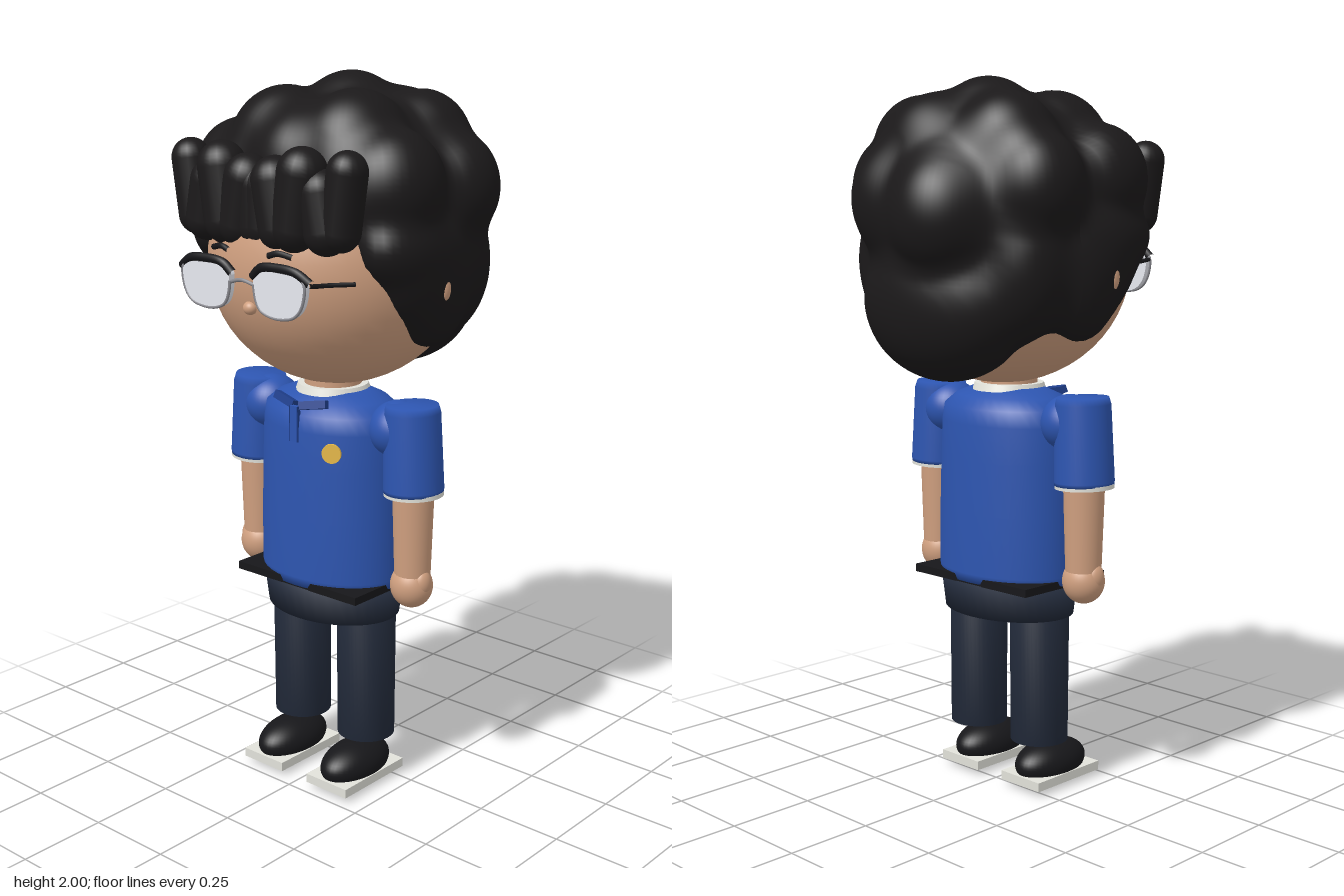
import * as THREE from 'three';

const mat = (color) => new THREE.MeshStandardMaterial({ color });
const M = {
  skin: mat(0xcf9f7f), hair: mat(0x1b191a), shirt: mat(0x2d55b0), shirtDark: mat(0x1f3f8c),
  pants: mat(0x222a3a), black: mat(0x17171a), white: mat(0xe2e2da), lens: mat(0xe6e8f0),
  gold: mat(0xe6b84a), metal: mat(0x8a8a90),
};

function add(parent, name, geo, material, pos = [0, 0, 0], scale = [1, 1, 1], rot = [0, 0, 0]) {
  const m = new THREE.Mesh(geo, material);
  m.name = name;
  m.position.set(...pos);
  m.scale.set(...scale);
  m.rotation.set(...rot);
  parent.add(m);
}
const ball = new THREE.SphereGeometry(1, 40, 28);
const lathe = (pts) => new THREE.LatheGeometry(
  pts.map(([r, y]) => new THREE.Vector2(r, y)), 40);
const tube = (pts, r, n = 16) => new THREE.TubeGeometry(
  new THREE.CatmullRomCurve3(pts.map((p) => new THREE.Vector3(...p))), n, r, 8);

// Curls as [x, y, z, rx, ry, rz]
const mirrored = [
  [0.12, 1.80, 0.10, 0.15, 0.16, 0.16], [0.16, 1.80, -0.12, 0.14, 0.15, 0.14],
  [0.265, 1.72, 0.12, 0.13, 0.15, 0.14], [0.265, 1.70, -0.12, 0.13, 0.15, 0.13],
  [0.16, 1.69, 0.17, 0.15, 0.16, 0.125], [0.30, 1.48, 0.01, 0.092, 0.185, 0.13],
  [0.23, 1.50, -0.13, 0.13, 0.2, 0.13], [0.30, 1.57, 0.12, 0.092, 0.10, 0.14],
  [0.305, 1.51, 0.08, 0.082, 0.13, 0.12],
];
const CURLS = [
  ...mirrored, ...mirrored.map(([x, ...rest]) => [-x, ...rest]),
  [0, 1.64, -0.05, 0.34, 0.31, 0.32], [-0.03, 1.85, -0.06, 0.15, 0.145, 0.14],
  [0.05, 1.81, -0.17, 0.15, 0.14, 0.14], [-0.08, 1.63, -0.26, 0.15, 0.17, 0.155],
  [0.12, 1.67, -0.24, 0.13, 0.16, 0.14], [0, 1.76, 0.14, 0.16, 0.16, 0.16],
  [0, 1.40, -0.19, 0.27, 0.22, 0.175],
];

// Smooth blend of all curls: negative inside the hair
function hairField(x, y, z) {
  const k = 0.035;
  let d = 1;
  for (const [cx, cy, cz, a, b, c] of CURLS) {
    const e = (Math.hypot((x - cx) / a, (y - cy) / b, (z - cz) / c) - 1) * Math.min(a, b, c);
    const h = Math.max(k - Math.abs(d - e), 0) / k;
    d = Math.min(d, e) - h * h * k * 0.25;
  }
  return d;
}

// A sphere whose vertices are drawn inward until they meet the blended curls
function hairGeometry() {
  const geo = new THREE.SphereGeometry(1, 128, 96);
  const p = geo.attributes.position;
  const o = [0, 1.6, -0.06];
  for (let i = 0; i < p.count; i++) {
    const v = [p.getX(i), p.getY(i), p.getZ(i)];
    let r = 0.65;
    for (let s = 0; s < 80 && r > 0.1; s++) {
      const d = hairField(o[0] + v[0] * r, o[1] + v[1] * r, o[2] + v[2] * r);
      if (d < 0.0005) break;
      r -= d * 0.8;
    }
    p.setXYZ(i, o[0] + v[0] * r, o[1] + v[1] * r, o[2] + v[2] * r);
  }
  geo.computeVertexNormals();
  return geo;
}

// Rounded lens outline, wider at the top
function lensShape() {
  const s = new THREE.Shape();
  s.moveTo(-0.085, 0.03);
  s.quadraticCurveTo(-0.08, 0.055, -0.04, 0.058);
  s.lineTo(0.05, 0.055);
  s.quadraticCurveTo(0.092, 0.05, 0.09, 0.02);
  s.quadraticCurveTo(0.085, -0.045, 0.04, -0.058);
  s.quadraticCurveTo(-0.02, -0.072, -0.06, -0.05);
  s.quadraticCurveTo(-0.085, -0.03, -0.085, 0.03);
  return s;
}

function buildHead() {
  const g = new THREE.Group();
  g.name = 'head';
  add(g, 'face', ball, M.skin, [0, 1.5, 0.03], [0.352, 0.34, 0.358]);
  add(g, 'nose', ball, M.skin, [0, 1.413, 0.376], [0.02, 0.018, 0.018]);
  add(g, 'hair', hairGeometry(), M.hair);
  // Fringe locks: [x, y, z, radius, length, tilt]
  const locks = [[0.262, 1.70, 0.31, 0.053, 0.15, -0.15], [0.20, 1.67, 0.315, 0.06, 0.1, 0.2],
    [0.13, 1.695, 0.328, 0.066, 0.14, -0.15], [0.06, 1.68, 0.328, 0.064, 0.12, 0.2],
    [0.01, 1.67, 0.322, 0.06, 0.1, 0]];
  for (const s of [1, -1]) {
    for (const [x, y, z, r, len, tilt] of locks) {
      add(g, 'fringeLock', new THREE.CapsuleGeometry(r, len, 10, 20), M.hair,
        [s * x, y, z], [1, 1, 1], [0, 0, s * tilt]);
    }
    add(g, 'ear', ball, M.skin, [s * 0.382, 1.467, 0.053], [0.014, 0.036, 0.019]);
    add(g, 'eyebrow', tube([[s * 0.07, 1.556, 0.38], [s * 0.1, 1.564, 0.376], [s * 0.14, 1.556, 0.365]], 0.008),
      M.black);
  }
  return g;
}

function buildGlasses() {
  const g = new THREE.Group();
  g.name = 'glasses';
  const lens = new THREE.ExtrudeGeometry(lensShape(), { depth: 0.02, bevelEnabled: false, curveSegments: 10 });
  const rim = tube(lensShape().getPoints(8).slice(0, -1).map((p) => [p.x, p.y, 0]), 0.004, 60);
  for (const s of [1, -1]) {
    const side = new THREE.Group();
    side.name = s > 0 ? 'leftLens' : 'rightLens';
    side.position.set(s * 0.127, 1.468, 0.388);
    side.scale.x = s;
    add(side, 'lens', lens, M.lens);
    add(side, 'rim', rim, M.metal, [0, 0, 0.018]);
    add(side, 'browBar', tube([[-0.09, 0.035, 0.014], [-0.06, 0.06, 0.018], [0, 0.066, 0.018],
      [0.06, 0.06, 0.016], [0.1, 0.035, 0.008]], 0.012, 24), M.black);
    add(side, 'temple', tube([[0.094, 0.03, 0.008], [0.092, 0.026, -0.02], [0.1, 0.025, -0.05],
      [0.145, 0.025, -0.11]], 0.006), M.black);
    g.add(side);
  }
  add(g, 'bridge', tube([[-0.045, 1.48, 0.402], [0, 1.49, 0.406], [0.045, 1.48, 0.402]], 0.005), M.metal);
  return g;
}

function buildTorso() {
  const g = new THREE.Group();
  g.name = 'torso';
  const z = 0.053;
  add(g, 'shirt', lathe([[0, 0.605], [0.222, 0.605], [0.226, 0.63], [0.224, 0.8], [0.220, 0.95],
    [0.216, 1.05], [0.208, 1.095], [0.17, 1.125], [0.11, 1.148], [0, 1.15]]), M.shirt, [0, 0, z], [1, 1, 0.75]);
  add(g, 'neck', new THREE.CylinderGeometry(0.08, 0.08, 0.1, 32), M.skin, [0, 1.15, z]);
  add(g, 'neckBand', new THREE.CylinderGeometry(0.098, 0.105, 0.02, 32), M.white, [0, 1.149, z]);
  add(g, 'placket', new THREE.BoxGeometry(0.028, 0.1, 0.012), M.shirt, [0, 1.07, 0.211]);
  for (const s of [1, -1]) {
    add(g, 'placketEdge', new THREE.BoxGeometry(0.003, 0.1, 0.012), M.shirtDark, [s * 0.014, 1.07, 0.212]);
    add(g, 'collarFlap', new THREE.BoxGeometry(0.085, 0.022, 0.02), M.shirtDark,
      [s * 0.05, 1.126, 0.192], [1, 1, 1], [-0.3, s * 0.15, s * 0.22]);
  }
  add(g, 'badge', new THREE.CylinderGeometry(0.027, 0.027, 0.008, 32), M.gold,
    [0.117, 1.003, 0.194], [1, 1, 1], [Math.PI / 2, 0, -0.42]);
  add(g, 'belt', new THREE.BoxGeometry(0.44, 0.022, 0.325), M.black, [0, 0.61, z]);
  add(g, 'hips', lathe([[0, 0.503], [0.207, 0.505], [0.22, 0.6], [0, 0.6]]), M.pants, [0, 0, z], [1, 1, 0.76]);
  return g;
}

function buildArm(s) {
  const g = new THREE.Group();
  g.name = s > 0 ? 'leftArm' : 'rightArm';
  const z = 0.052;
  const tilt = [0, 0, s * 0.035];
  add(g, 'shoulder', ball, M.shirt, [s * 0.232, 1.065, z], [0.08, 0.078, 0.085]);
  add(g, 'sleeve', lathe([[0, -0.12], [0.081, -0.12], [0.082, -0.11], [0.076, 0.1], [0.07, 0.12], [0, 0.122]]),
    M.shirt, [s * 0.283, 1.02, z], [1, 1, 1.03], tilt);
  add(g, 'sleeveTrim', new THREE.CylinderGeometry(0.082, 0.082, 0.012, 40), M.white,
    [s * 0.287, 0.897, z], [1, 1, 1], tilt);
  add(g, 'forearm', new THREE.CylinderGeometry(0.058, 0.05, 0.26, 32), M.skin, [s * 0.286, 0.79, z]);
  add(g, 'hand', ball, M.skin, [s * 0.285, 0.63, z + 0.002], [0.06, 0.063, 0.058]);
  add(g, 'thumb', ball, M.skin, [s * 0.324, 0.645, z + 0.005], [0.024, 0.038, 0.028]);
  return g;
}

function buildLeg(s) {
  const g = new THREE.Group();
  g.name = s > 0 ? 'leftLeg' : 'rightLeg';
  add(g, 'trouserLeg', lathe([[0, 0.138], [0.082, 0.14], [0.084, 0.54], [0, 0.54]]),
    M.pants, [s * 0.122, 0, 0.052]);
  add(g, 'shoe', ball, M.black, [s * 0.122, 0.062, 0.1], [0.075, 0.062, 0.125]);
  add(g, 'sole', new THREE.BoxGeometry(0.148, 0.026, 0.255), M.white, [s * 0.122, 0.029, 0.1]);
  return g;
}

export function createModel() {
  const model = new THREE.Group();
  model.name = 'figure';
  model.add(buildHead(), buildGlasses(), buildTorso());
  for (const s of [1, -1]) model.add(buildArm(s), buildLeg(s));
  return model;
}
